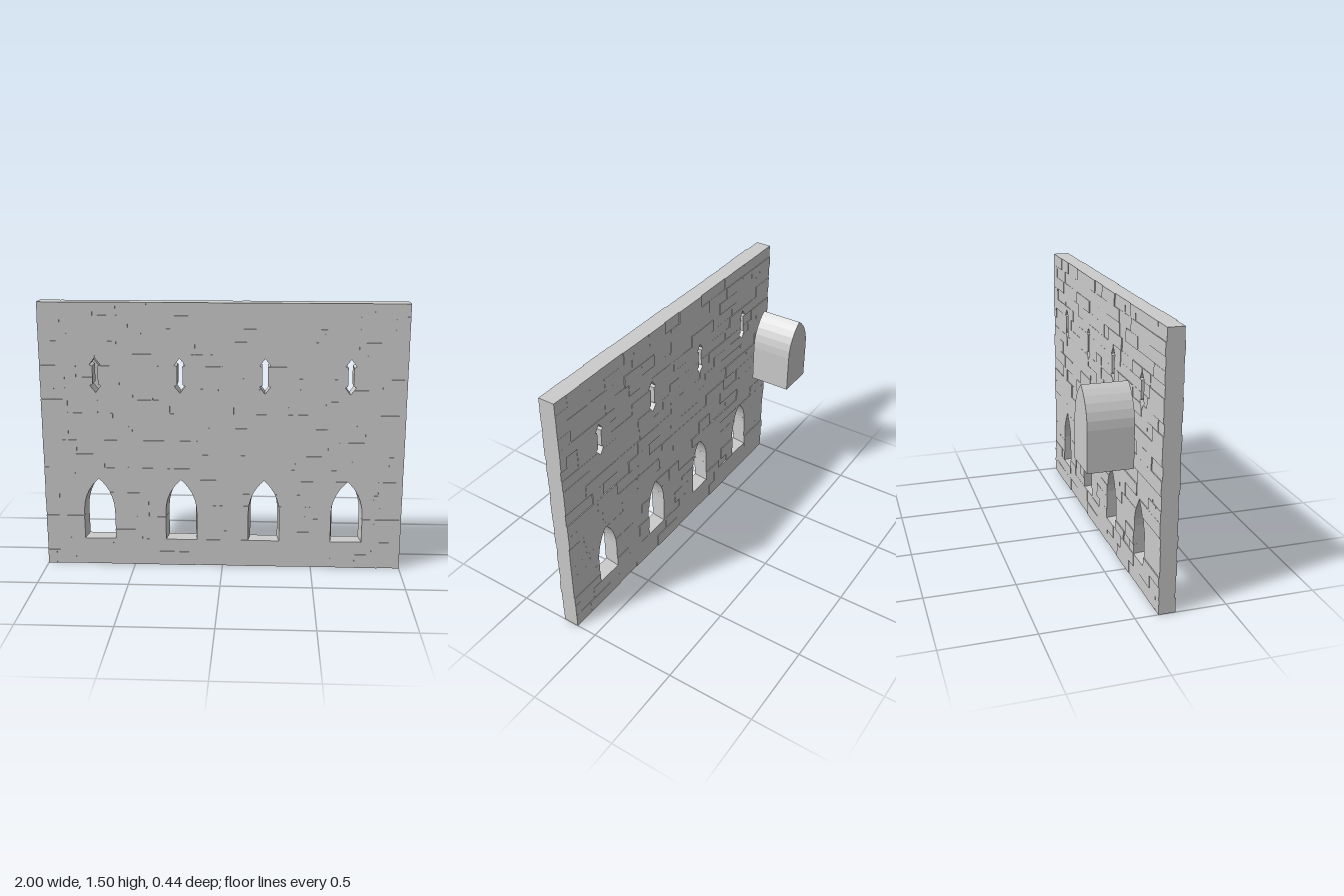
import * as THREE from 'three';
import { mergeGeometries } from 'three/addons/utils/BufferGeometryUtils.js';

const material = new THREE.MeshStandardMaterial({ color: 0xcccccc, flatShading: true });

// Small seeded generator for the irregular masonry
let seed = 7;
function rand(min, max) {
  seed = (seed * 16807) % 2147483647;
  return min + (max - min) * (seed / 2147483647);
}

// Half-outline of a pointed arch as [y, halfWidth] from sill to apex
function archProfile(sill, spring, apex, half, steps) {
  const rise = apex - spring;
  const radius = (half * half + rise * rise) / (2 * half);
  const points = [[sill, half]];
  for (let i = 0; i <= steps; i++) {
    const dy = rise * Math.sin((i / steps) * Math.PI / 2);
    const w = Math.sqrt(radius * radius - dy * dy) - (radius - half);
    points.push([spring + dy, i === steps ? 0 : w]);
  }
  return points;
}

// Half-outline of the double-headed arrow slit
const slitProfile = [
  [1.005, 0], [1.045, 0.03], [1.052, 0.015], [1.153, 0.015], [1.16, 0.03], [1.2, 0],
];
const windowProfile = archProfile(0.155, 0.32, 0.51, 0.0875, 7);
const centres = [-0.695, -0.232, 0.232, 0.695];

// Half-width of an opening at height y
function halfWidth(profile, y) {
  for (let i = 1; i < profile.length; i++) {
    const [y0, w0] = profile[i - 1];
    const [y1, w1] = profile[i];
    if (y >= y0 && y <= y1) return w0 + (w1 - w0) * (y - y0) / (y1 - y0);
  }
  return 0;
}

// One through-stone, its sides following any opening it borders
function makeStone(left, right, y0, y1, profile, tapered) {
  const mid = (y0 + y1) / 2;
  const widthAt = (y) => profile ? halfWidth(profile, y + Math.sign(mid - y) * 1e-5) : 0;
  const inner = profile ? profile.map((p) => p[0]).filter((y) => y > y0 + 1e-3 && y < y1 - 1e-3) : [];
  const levels = [y0, ...inner, y1];
  const edge = (side, sign) => levels.map((y) =>
    new THREE.Vector2(side.x + (side.opening ? sign * widthAt(y) : 0), y));
  const outline = [...edge(left, 1).reverse(), ...edge(right, -1)];

  const back = 0.12 + rand(0, 0.007);
  const front = 0.22 - rand(0, 0.007);
  const geometry = new THREE.ExtrudeGeometry(new THREE.Shape(outline),
    { depth: front - back, bevelEnabled: false });
  geometry.translate(0, 0, back);

  // Narrow the arched openings towards the back
  if (tapered) {
    const p = geometry.attributes.position;
    for (let i = 0; i < p.count; i++) {
      if (p.getZ(i) > 0.17) continue;
      for (const side of [left, right]) {
        const dx = p.getX(i) - side.x;
        if (side.opening && Math.abs(dx) <= widthAt(p.getY(i)) + 1e-4) p.setX(i, side.x + dx * 0.87);
      }
    }
    geometry.computeVertexNormals();
  }
  return geometry;
}

function createWall() {
  const courses = [0, 0.08, 0.155, 0.21, 0.29, 0.36, 0.43, 0.51, 0.575, 0.655, 0.735,
    0.81, 0.89, 0.965, 1.03, 1.09, 1.155, 1.22, 1.29, 1.36, 1.43, 1.5];
  const stones = [];
  for (let c = 0; c < courses.length - 1; c++) {
    const y0 = courses[c], y1 = courses[c + 1];
    const crosses = (p) => y1 > p[0][0] + 1e-3 && y0 < p[p.length - 1][0] - 1e-3;
    const profile = [windowProfile, slitProfile].find(crosses);
    const reach = profile === windowProfile ? 0.0875 : 0.03;

    // Spans between openings, each divided into stones of uneven length
    const stops = [{ x: -1 }];
    if (profile) centres.forEach((x) => stops.push({ x, opening: true }));
    stops.push({ x: 1 });
    for (let s = 0; s < stops.length - 1; s++) {
      let left = stops[s];
      const end = stops[s + 1];
      const limit = end.x - (end.opening ? reach : 0) - 0.04;
      let x = left.x + (left.opening ? reach : 0) + rand(0.05, 0.2);
      while (x < limit) {
        const joint = { x };
        stones.push(makeStone(left, joint, y0, y1, profile, profile === windowProfile));
        left = joint;
        x += rand(0.08, 0.23);
      }
      stones.push(makeStone(left, end, y0, y1, profile, profile === windowProfile));
    }
  }
  const wall = new THREE.Mesh(mergeGeometries(stones), material);
  wall.name = 'stoneWall';
  return wall;
}

// Loose solid block with a pointed-arch section behind the wall
function createArchBlock() {
  const profile = archProfile(0.77, 0.99, 1.19, 0.107, 7);
  const rightSide = profile.map(([y, w]) => new THREE.Vector2(w, y));
  const leftSide = profile.slice(0, -1).reverse().map(([y, w]) => new THREE.Vector2(-w, y));
  const geometry = new THREE.ExtrudeGeometry(new THREE.Shape([...rightSide, ...leftSide]),
    { depth: 0.24, bevelEnabled: false });
  const block = new THREE.Mesh(geometry, material);
  block.position.set(-0.778, 0, -0.22);
  block.name = 'archBlock';
  return block;
}

export function createModel() {
  seed = 7;
  const model = new THREE.Group();
  model.name = 'castleWall';
  model.add(createWall(), createArchBlock());
  return model;
}
